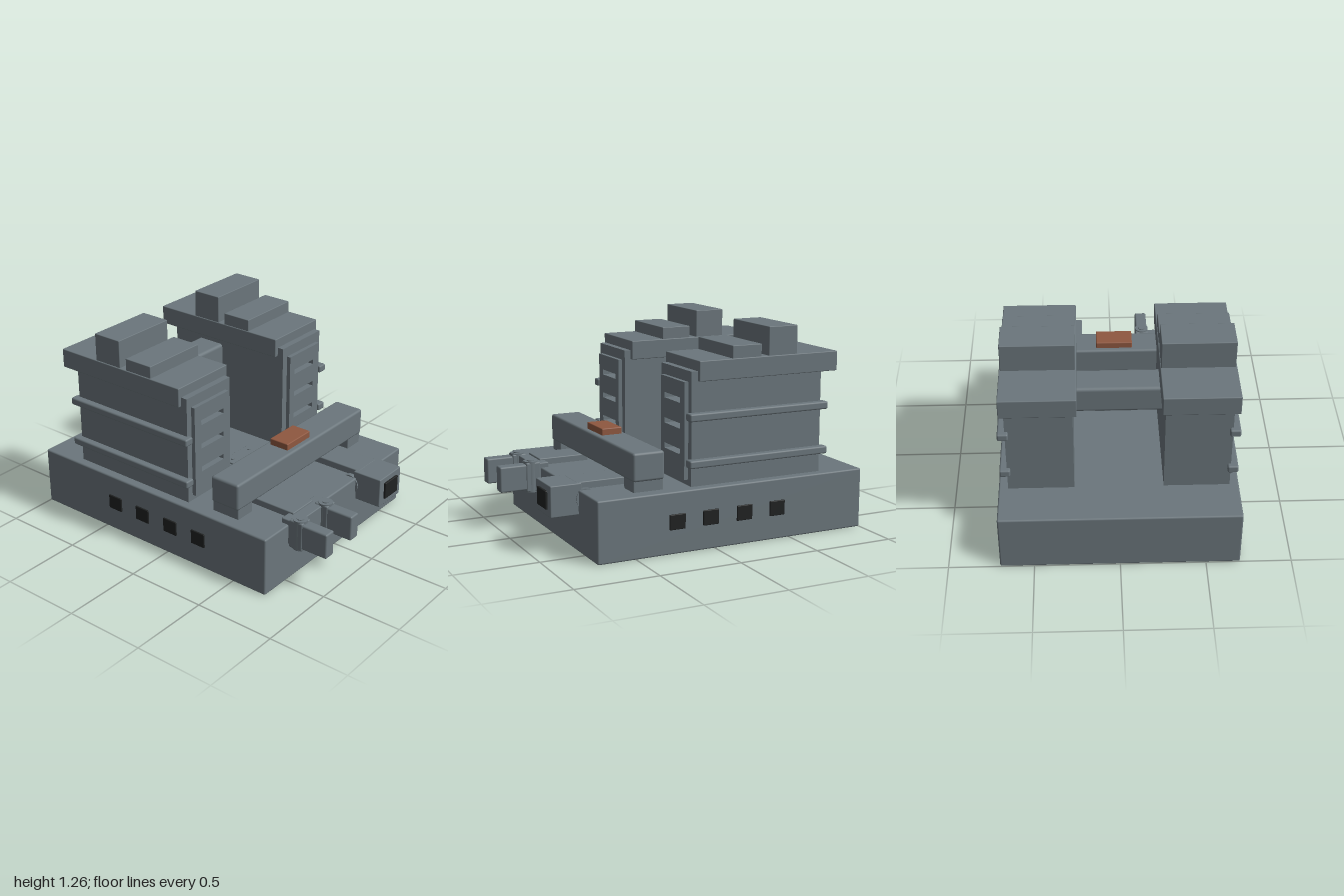
import * as THREE from 'three';
import { RoundedBoxGeometry } from 'three/addons/geometries/RoundedBoxGeometry.js';

const paint = (name, color) => Object.assign(new THREE.MeshStandardMaterial({ color }), { name });

export function createModel() {
  const grey = paint('steel grey', 0x6b767c);
  const dark = paint('near black', 0x202222);
  const orange = paint('rust orange', 0x8f5840);
  const model = new THREE.Group();
  model.name = 'machine';

  const add = (parent, name, geometry, material) => {
    const mesh = new THREE.Mesh(geometry, material);
    mesh.name = name;
    parent.add(mesh);
    return mesh;
  };
  // Box given by its limits on each axis, with a small rounded edge
  const box = (parent, name, [x0, x1], [y0, y1], [z0, z1], r = 0.008, mat = grey) => {
    const size = [x1 - x0, y1 - y0, z1 - z0];
    const geo = r ? new RoundedBoxGeometry(...size, 2, r) : new THREE.BoxGeometry(...size);
    const mesh = add(parent, name, geo, mat);
    mesh.position.set((x0 + x1) / 2, (y0 + y1) / 2, (z0 + z1) / 2);
    return mesh;
  };
  // Limits mirrored to one side of the model
  const flip = (s, a, b) => (s > 0 ? [a, b] : [-b, -a]);
  const group = (name) => {
    const g = new THREE.Group();
    g.name = name;
    model.add(g);
    return g;
  };

  // Base with side windows
  box(model, 'base', [-0.7, 0.7], [0, 0.365], [-1, 0.735], 0.01);
  for (const s of [1, -1]) {
    for (const z of [0.245, 0.03, -0.19, -0.41]) {
      box(model, 'sideWindow', flip(s, 0.69, 0.709), [0.145, 0.235], [z - 0.05, z + 0.05], 0.004, dark);
    }
  }

  // Deck hatch and its bolts
  box(model, 'hatch', [-0.127, 0.125], [0.355, 0.374], [-0.035, 0.175], 0.003);
  for (const x of [-0.085, 0.08]) for (const z of [0.01, 0.135]) {
    add(model, 'hatchBolt', new THREE.CylinderGeometry(0.01, 0.01, 0.008, 12), grey).position.set(x, 0.376, z);
  }

  // Slab facing +z with three slots cut through
  const slotted = (x0, x1, y0, y1, depth, cx) => {
    const rect = (T, a, b, c, d) => {
      const p = new T();
      p.moveTo(a, c); p.lineTo(b, c); p.lineTo(b, d); p.lineTo(a, d); p.closePath();
      return p;
    };
    const shape = rect(THREE.Shape, x0, x1, y0, y1);
    for (const y of [0.555, 0.705, 0.855]) {
      shape.holes.push(rect(THREE.Path, cx - 0.1, cx + 0.1, y - 0.016, y + 0.016));
    }
    return new THREE.ExtrudeGeometry(shape, { depth, bevelEnabled: false });
  };

  // Twin towers
  for (const s of [1, -1]) {
    const tower = group(s > 0 ? 'leftTower' : 'rightTower');
    const cx = s * 0.45;
    box(tower, 'towerBody', flip(s, 0.26, 0.645), [0.36, 1.03], [-0.73, 0.07], 0);
    const wall = flip(s, 0.26, 0.645), door = flip(s, 0.303, 0.607);
    add(tower, 'frontWall', slotted(...wall, 0.36, 1.03, 0.06, cx), grey).position.z = 0.07;
    add(tower, 'frontPanel', slotted(...door, 0.4, 0.967, 0.025, cx), grey).position.z = 0.13;
    for (const y of [0.555, 0.705, 0.855]) {
      box(tower, 'slotBack', [cx - 0.1, cx + 0.1], [y - 0.016, y + 0.016], [0.069, 0.073], 0, dark);
    }
    box(tower, 'roof', flip(s, 0.235, 0.667), [0.973, 1.09], [-0.828, 0.09], 0.005);
    box(tower, 'lowRoofBlock', flip(s, 0.24, 0.66), [1.08, 1.163], [-0.315, -0.125], 0.004);
    box(tower, 'highRoofBlock', flip(s, 0.24, 0.66), [1.08, 1.258], [-0.553, -0.363], 0.004);
    for (const y of [0.502, 0.772]) {
      box(tower, 'sideRail', flip(s, 0.625, 0.687), [y - 0.023, y + 0.023], [-0.76, 0.157], 0.01);
    }
  }
  box(model, 'crossBeam', [-0.3, 0.3], [0.772, 0.938], [-0.54, -0.35], 0.02);

  // Front beam on two feet with a beacon
  box(model, 'frontBeam', [-0.63, 0.63], [0.425, 0.592], [0.29, 0.485], 0.015);
  for (const s of [1, -1]) {
    box(model, 'beamFoot', flip(s, 0.49, 0.62), [0.355, 0.45], [0.295, 0.48], 0.006);
  }
  box(model, 'beacon', [-0.115, 0.113], [0.585, 0.632], [0.32, 0.45], 0.006, orange);

  // Gripper arm
  const gripper = group('gripperArm');
  box(gripper, 'gripperBar', [-0.418, -0.23], [0.24, 0.405], [0.4, 0.72], 0.006);
  box(gripper, 'palm', [-0.485, -0.165], [0.24, 0.395], [0.685, 0.79], 0.006);
  for (const x of [-0.446, -0.2]) {
    add(gripper, 'hinge', new THREE.CylinderGeometry(0.043, 0.043, 0.19, 28), grey).position.set(x, 0.313, 0.79);
    add(gripper, 'hingePin', new THREE.CylinderGeometry(0.022, 0.022, 0.2, 20), grey).position.set(x, 0.313, 0.79);
    box(gripper, 'fingerBase', [x - 0.041, x + 0.041], [0.222, 0.402], [0.74, 0.83], 0.008);
    box(gripper, 'fingerTip', [x - 0.037, x + 0.037], [0.235, 0.392], [0.8, 0.995], 0.01);
  }

  // Sensor arm
  const sensor = group('sensorArm');
  box(sensor, 'sensorBar', [0.225, 0.41], [0.3, 0.407], [0.4, 0.74], 0.006);
  const pivot = add(sensor, 'sensorPivot', new THREE.CylinderGeometry(0.06, 0.06, 0.24, 28), grey);
  pivot.rotation.z = Math.PI / 2;
  pivot.position.set(0.317, 0.313, 0.69);
  box(sensor, 'sensorHousing', [0.204, 0.432], [0.222, 0.406], [0.715, 0.905], 0.006);
  box(sensor, 'lens', [0.25, 0.386], [0.263, 0.37], [0.895, 0.918], 0.005, dark);

  return model;
}
